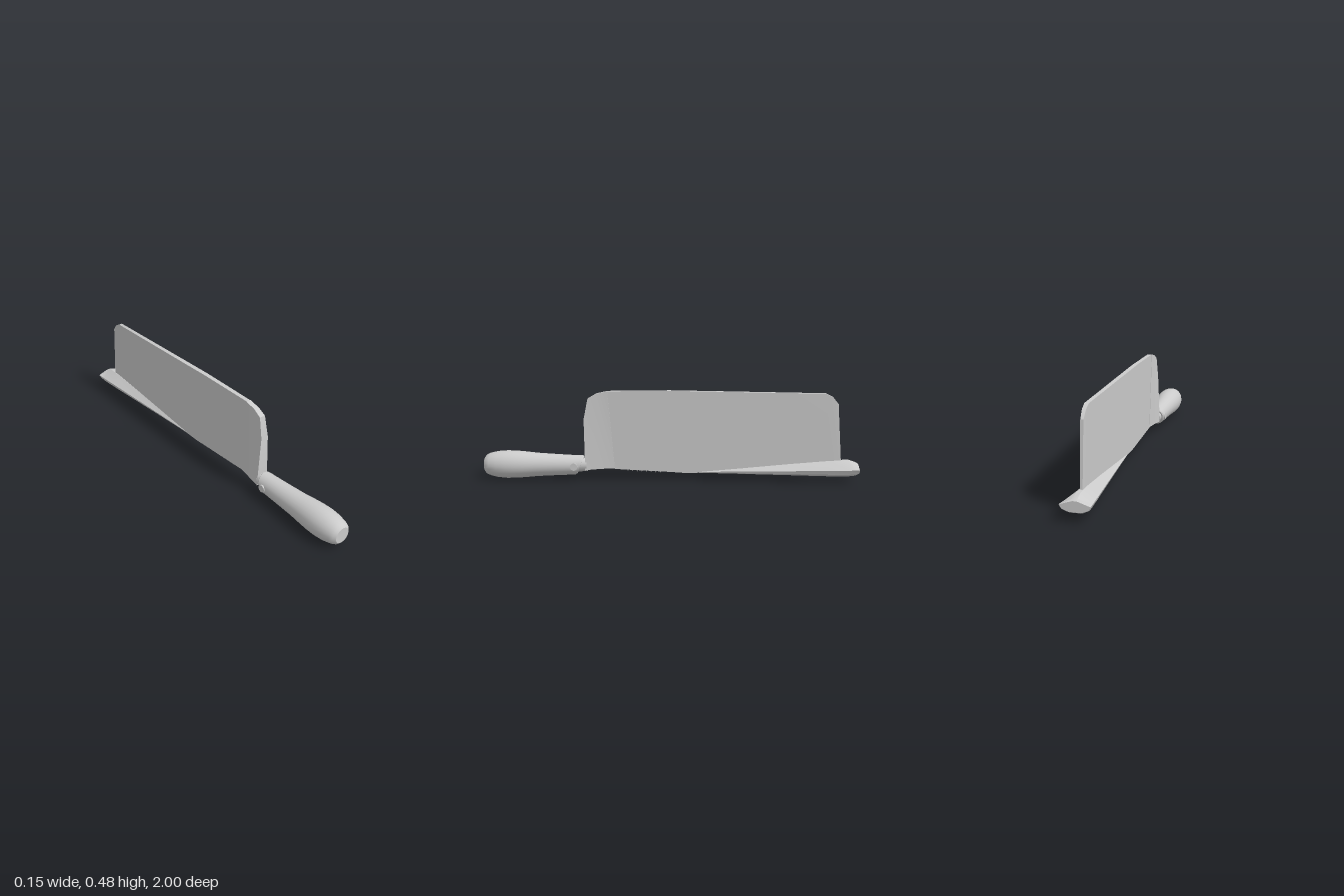
import * as THREE from 'three';
import { toCreasedNormals } from 'three/addons/utils/BufferGeometryUtils.js';

const material = new THREE.MeshStandardMaterial({ color: 0xcccccc });

// Closed solid through rings of [x, y, z], counterclockwise seen from +z, running toward -z
function loft(rings, crease = 0.5) {
  const n = rings[0].length, last = (rings.length - 1) * n, index = [];
  for (let i = 0; i < rings.length - 1; i++) {
    for (let j = 0; j < n; j++) {
      const a = i * n + j, b = i * n + (j + 1) % n;
      index.push(a, a + n, b, b, a + n, b + n);
    }
  }
  for (let j = 1; j < n - 1; j++) {
    index.push(0, j, j + 1, last, last + j + 1, last + j);
  }
  const geometry = new THREE.BufferGeometry();
  geometry.setAttribute('position', new THREE.Float32BufferAttribute(rings.flat(2), 3));
  geometry.setIndex(index);
  return toCreasedNormals(geometry, crease);
}

// Upright slab section: z, y and half width at the top and at the bottom
const slab = ([zt, zb, yt, yb, wt, wb]) =>
  [[wb, yb, zb], [wt, yt, zt], [-wt, yt, zt], [-wb, yb, zb]];

// Flared tang section: ridge on top, sharp side edges, rounded belly
const flare = ([z, w, top, side, bottom]) => {
  const mid = bottom + (side - bottom) * 0.4;
  return [
    [w, side, z], [w * 0.15, top, z], [-w * 0.15, top, z], [-w, side, z],
    [-w * 0.85, mid, z], [-w * 0.4, bottom, z], [w * 0.4, bottom, z], [w * 0.85, mid, z],
  ];
};

export function createModel() {
  const group = new THREE.Group();
  const add = (name, geometry) => {
    const mesh = new THREE.Mesh(geometry, material);
    mesh.name = name;
    group.add(mesh);
    return mesh;
  };

  // Thin main blade, with a rounded far corner
  add('blade', loft([
    [0.33, 0.295, 0.48, 0.058, 0.011, 0.008],
    [0, 0, 0.485, 0.045, 0.012, 0.007],
    [-0.08, -0.08, 0.484, 0.04, 0.012, 0.006],
    [-0.16, -0.16, 0.483, 0.042, 0.012, 0.006],
    [-0.82, -0.86, 0.475, 0.1, 0.01, 0.006],
    [-0.855, -0.89, 0.457, 0.105, 0.009, 0.006],
    [-0.885, -0.91, 0.42, 0.11, 0.007, 0.006],
  ].map(slab)));

  // Thick heel wedge tapering into the blade
  add('heel', loft([
    [0.457, 0.452, 0.33, 0.055, 0.021, 0.034],
    [0.435, 0.43, 0.44, 0.057, 0.016, 0.031],
    [0.39, 0.37, 0.466, 0.061, 0.014, 0.022],
    [0.33, 0.295, 0.48, 0.062, 0.013, 0.01],
  ].map(slab)));

  // Fine teeth along the lower edge
  const tooth = new THREE.ConeGeometry(0.007, 0.014, 4);
  tooth.rotateX(Math.PI);
  for (let i = 0; i < 8; i++) {
    const z = 0.05 + i * 0.025;
    add('tooth', tooth).position.set(0, 0.043 + z * 0.044, z);
  }

  // Flared tang at the far end
  add('flaredTang', loft([
    [-0.14, 0.004, 0.05, 0.046, 0.041],
    [-0.4, 0.022, 0.073, 0.055, 0.039],
    [-0.85, 0.058, 0.115, 0.073, 0.035],
    [-0.95, 0.066, 0.12, 0.077, 0.037],
    [-0.985, 0.069, 0.108, 0.08, 0.042],
    [-1, 0.07, 0.1, 0.08, 0.05],
  ].map(flare)));

  // Turned handle; its inner end is cut on a slant
  const profile = [
    [0, 0.48], [0.046, 0.48], [0.052, 0.488], [0.053, 0.52], [0.058, 0.62],
    [0.063, 0.71], [0.07, 0.78], [0.074, 0.83], [0.075, 0.88], [0.071, 0.93],
    [0.062, 0.97], [0.053, 0.99], [0.041, 1], [0, 1],
  ].map(([r, z]) => new THREE.Vector2(r, z));
  const handle = new THREE.LatheGeometry(profile, 24);
  handle.rotateX(Math.PI / 2);
  const p = handle.attributes.position;
  for (let i = 0; i < p.count; i++) {
    if (p.getZ(i) < 0.5) p.setZ(i, p.getZ(i) - p.getY(i) * 0.4);
  }
  handle.translate(0, 0.077, 0);
  add('handle', toCreasedNormals(handle, 0.6));

  // Ferrule joining the handle to the heel
  const ferrule = new THREE.CylinderGeometry(0.042, 0.036, 0.07, 16);
  ferrule.rotateX(Math.PI / 2);
  add('ferrule', ferrule).position.set(0, 0.08, 0.479);

  // Pin through the handle
  const pin = new THREE.CylinderGeometry(0.02, 0.02, 0.114, 14);
  pin.rotateZ(Math.PI / 2);
  add('handlePin', pin).position.set(0, 0.077, 0.51);

  return group;
}
